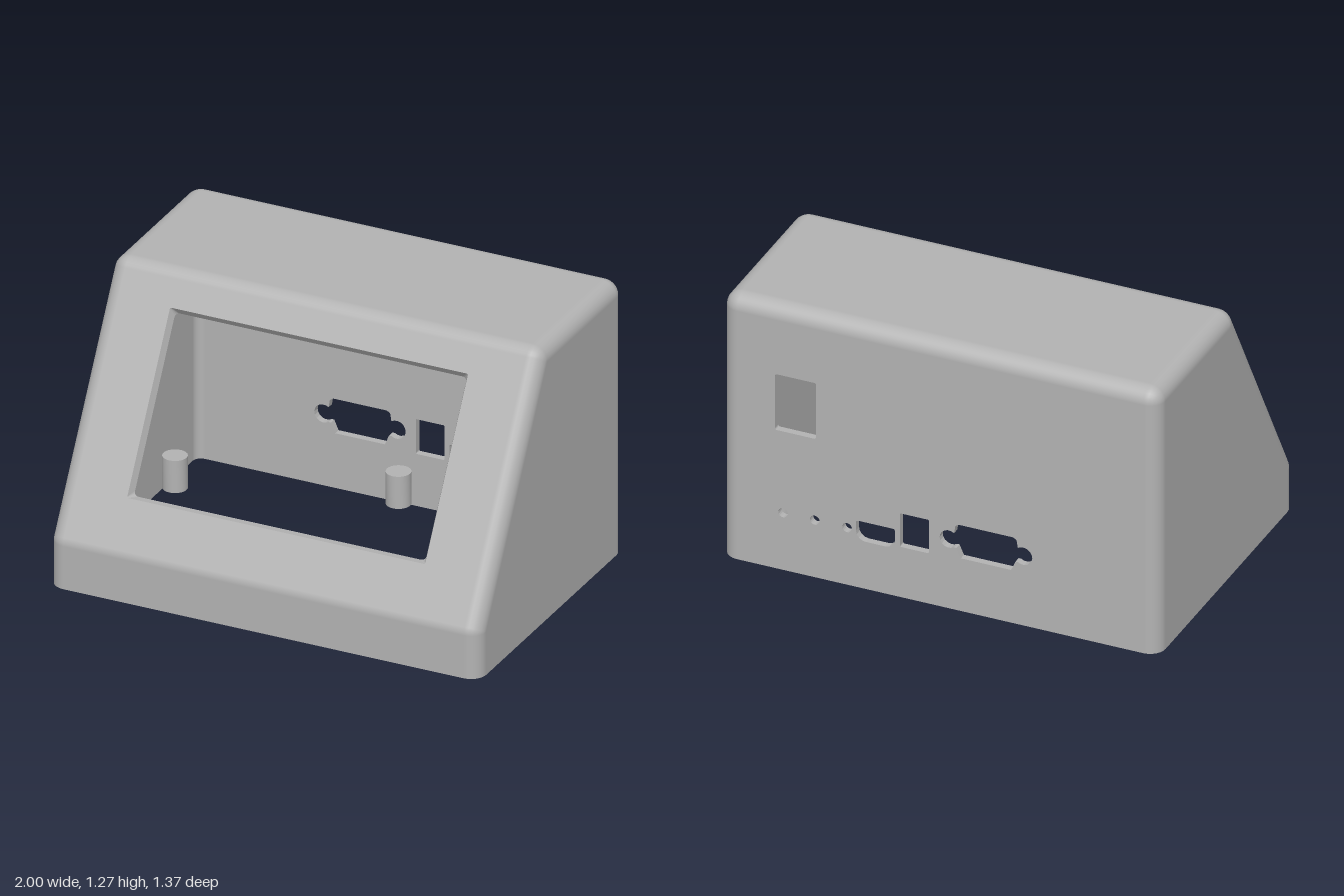
import * as THREE from 'three';
import { toCreasedNormals } from 'three/addons/utils/BufferGeometryUtils.js';

const R = 0.07, WALL = 0.032, X = 1 - R, Z = 0.685 - R, Y = 1.2, KNEE = 0.2;
const SLOPE = 30, LEN = (Y - KNEE) / Math.cos(Math.PI / 6);
const rad = THREE.MathUtils.degToRad;

// Side profile as fillet centres (z, y) with outward angles, front to back
function sideProfile() {
  const list = [{ z: Z, y: 0, a: 0 }];
  const arc = (z, y, a0, a1, n) => {
    for (let i = 0; i <= n; i++) list.push({ z, y, a: a0 + ((a1 - a0) * i) / n });
  };
  arc(Z, KNEE, 0, SLOPE, 3);
  arc(Z - LEN / 2, Y, SLOPE, 90, 6);
  arc(-Z, Y, 90, 180, 8);
  list.push({ z: -Z, y: 0, a: 180 });
  return list;
}

// Rounded skin lofted along x; the flat slope and back are left open for panels
function skin(r, inside) {
  const prof = sideProfile(), m = prof.length, n = 6;
  const pos = [], nor = [], idx = [], s = inside ? -1 : 1;
  for (let k = 0; k < 2 * (n + 1); k++) {
    const right = k > n;
    const step = right ? k - n - 1 : k - n;
    const t = (step / n) * Math.PI / 2;
    const c = Math.abs(step) === n ? 0 : Math.cos(t);
    for (const p of prof) {
      const dz = c * Math.cos(rad(p.a)), dy = c * Math.sin(rad(p.a));
      pos.push((right ? X : -X) + r * Math.sin(t), p.y + r * dy, p.z + r * dz);
      nor.push(s * Math.sin(t), s * dy, s * dz);
    }
  }
  const tri = (a, b, c) => (inside ? idx.push(a, c, b) : idx.push(a, b, c));
  for (let i = 0; i < 2 * n + 1; i++) {
    for (let j = 0; j < m - 1; j++) {
      const a0 = prof[j].a;
      if (i === n && a0 === prof[j + 1].a && (a0 === SLOPE || a0 === 180)) continue;
      const a = i * m + j, b = a + m;
      tri(a, b, b + 1);
      tri(a, b + 1, a + 1);
    }
  }
  // Flat side faces
  const last = (2 * n + 1) * m;
  for (let j = 1; j < m - 1; j++) {
    tri(0, j, j + 1);
    tri(last, last + j + 1, last + j);
  }
  const g = new THREE.BufferGeometry();
  g.setAttribute('position', new THREE.Float32BufferAttribute(pos, 3));
  g.setAttribute('normal', new THREE.Float32BufferAttribute(nor, 3));
  g.setIndex(idx);
  return dropEmpty(g);
}

// Removes triangles without area, as at poles and collapsed fillets
function dropEmpty(g) {
  const p = g.attributes.position, keep = [], tri = new THREE.Triangle();
  for (let i = 0; i < g.index.count; i += 3) {
    const ids = [0, 1, 2].map((k) => g.index.getX(i + k));
    tri.setFromAttributeAndIndices(p, ...ids);
    if (tri.getArea() > 1e-8) keep.push(...ids);
  }
  g.setIndex(keep);
  return g;
}

// Counter-clockwise outlines
function roundRect(x0, y0, x1, y1, top, bottom = top) {
  const pts = [];
  const corner = (cx, cy, r, a) => {
    for (let i = 0; i <= 4; i++) {
      const t = rad(a + i * 22.5);
      pts.push(new THREE.Vector2(cx + r * Math.cos(t), cy + r * Math.sin(t)));
    }
  };
  corner(x1 - top, y1 - top, top, 0);
  corner(x0 + top, y1 - top, top, 90);
  corner(x0 + bottom, y0 + bottom, bottom, 180);
  corner(x1 - bottom, y0 + bottom, bottom, 270);
  return pts;
}
const circle = (x, y, r) => new THREE.Path().absarc(x, y, r, 0, Math.PI * 2).getPoints(8).slice(0, -1);

// Connector opening with a screw ear on each side
function earedHole(cx, cy) {
  const p = new THREE.Path();
  p.moveTo(cx - 0.115, cy - 0.08);
  p.lineTo(cx + 0.115, cy - 0.08);
  p.lineTo(cx + 0.135, cy - 0.035);
  p.absarc(cx + 0.17, cy, 0.042, rad(-125), rad(125), false);
  p.lineTo(cx + 0.14, cy + 0.07);
  p.lineTo(cx + 0.125, cy + 0.08);
  p.lineTo(cx - 0.125, cy + 0.08);
  p.lineTo(cx - 0.14, cy + 0.07);
  p.absarc(cx - 0.17, cy, 0.042, rad(55), rad(305), false);
  p.lineTo(cx - 0.135, cy - 0.035);
  return p.getPoints(6);
}

// Hollow screw post, open end at y = 0
function post(len) {
  const pts = [[0, 0.1], [0.028, 0.1], [0.028, 0], [0.054, 0], [0.054, len], [0, len]];
  const lathe = new THREE.LatheGeometry(pts.map(([x, y]) => new THREE.Vector2(x, y)), 24);
  return toCreasedNormals(dropEmpty(lathe), 0.6);
}

export function createModel() {
  const model = new THREE.Group();
  model.name = 'slopedEnclosure';
  const grey = new THREE.MeshStandardMaterial({ color: 0xb3b3b3 });
  grey.name = 'grey plastic';
  const add = (parent, geo, name) => {
    const mesh = new THREE.Mesh(geo, grey);
    mesh.name = name;
    parent.add(mesh);
    return mesh;
  };

  // Wall panel: outer face, inner face and the walls of each [outer, inner] hole
  const panel = (parent, height, holes, name) => {
    const face = (side) => {
      const s = new THREE.Shape([[-X, 0], [X, 0], [X, height], [-X, height]].map(([x, y]) => new THREE.Vector2(x, y)));
      holes.forEach((h) => s.holes.push(new THREE.Path(h[side])));
      return new THREE.ShapeGeometry(s);
    };
    add(parent, face(0), name + 'Outside');
    const inner = face(1);
    inner.index.array.reverse();
    inner.computeVertexNormals();
    inner.translate(0, 0, -WALL);
    add(parent, inner, name + 'Inside');
    const pos = [];
    for (const [o, n] of holes) {
      o.forEach((p, i) => {
        const j = (i + 1) % o.length, q = o[j], p2 = n[i], q2 = n[j];
        pos.push(p.x, p.y, 0, q.x, q.y, 0, q2.x, q2.y, -WALL);
        pos.push(p.x, p.y, 0, q2.x, q2.y, -WALL, p2.x, p2.y, -WALL);
      });
    }
    const g = new THREE.BufferGeometry();
    g.setAttribute('position', new THREE.Float32BufferAttribute(pos, 3));
    g.computeVertexNormals();
    add(parent, g, name + 'HoleEdges');
  };

  // Rounded housing skins
  add(model, skin(R, false), 'outerSkin');
  add(model, skin(R - WALL, true), 'innerSkin');

  // Bottom rim
  const rim = new THREE.Shape(roundRect(-1, -0.685, 1, 0.685, R));
  rim.holes.push(new THREE.Path(roundRect(-1 + WALL, -0.685 + WALL, 1 - WALL, 0.685 - WALL, R - WALL)));
  add(model, new THREE.ShapeGeometry(rim).rotateX(Math.PI / 2), 'bottomRim');

  // Sloped front with the screen opening, tapered inwards
  const front = new THREE.Group();
  front.name = 'slopedFront';
  front.position.set(0, KNEE + R * Math.sin(rad(SLOPE)), Z + R * Math.cos(rad(SLOPE)));
  front.rotation.x = -rad(SLOPE);
  model.add(front);
  panel(front, LEN, [[
    roundRect(-0.692, 0.22, 0.692, 1.033, 0.006),
    roundRect(-0.677, 0.235, 0.677, 1.018, 0.02),
  ]], 'frontPanel');

  // Back wall with connector openings
  const back = new THREE.Group();
  back.name = 'backWall';
  back.position.z = -Z - R;
  back.rotation.y = Math.PI;
  model.add(back);
  const openings = [
    roundRect(-0.755, 0.67, -0.567, 0.94, 0.008),
    ...[-0.718, -0.573, -0.425].map((x) => circle(x, 0.276, 0.022)),
    roundRect(-0.385, 0.228, -0.205, 0.322, 0.012, 0.045),
    roundRect(-0.183, 0.243, -0.05, 0.405, 0.006),
    earedHole(0.21, 0.335),
  ];
  panel(back, Y, openings.map((h) => [h, h]), 'backPanel');

  // Screw posts for the base and behind the screen
  const floorPost = post(0.15);
  for (const [x, z] of [[-0.9, 0.57], [0, 0.58], [0.9, 0.57], [-0.9, -0.31], [0, -0.59], [0.9, -0.31]]) {
    add(model, floorPost, 'screwPost').position.set(x, 0.03, z);
  }
  const screenPost = post(0.14);
  for (const x of [-0.88, 0.88]) {
    for (const y of [0.31, 0.94]) {
      const p = add(front, screenPost, 'screenPost');
      p.rotation.x = Math.PI / 2;
      p.position.set(x, y, -WALL - 0.13);
    }
  }

  // Thin ribs around the inside of the screen opening
  for (const y of [0.13, 1.11]) {
    add(front, new THREE.BoxGeometry(1.37, 0.018, 0.02), 'screenRib').position.set(0, y, -WALL - 0.005);
  }
  for (const x of [-0.79, 0.79]) {
    add(front, new THREE.BoxGeometry(0.018, 0.84, 0.02), 'screenRib').position.set(x, 0.626, -WALL - 0.005);
  }
  return model;
}
